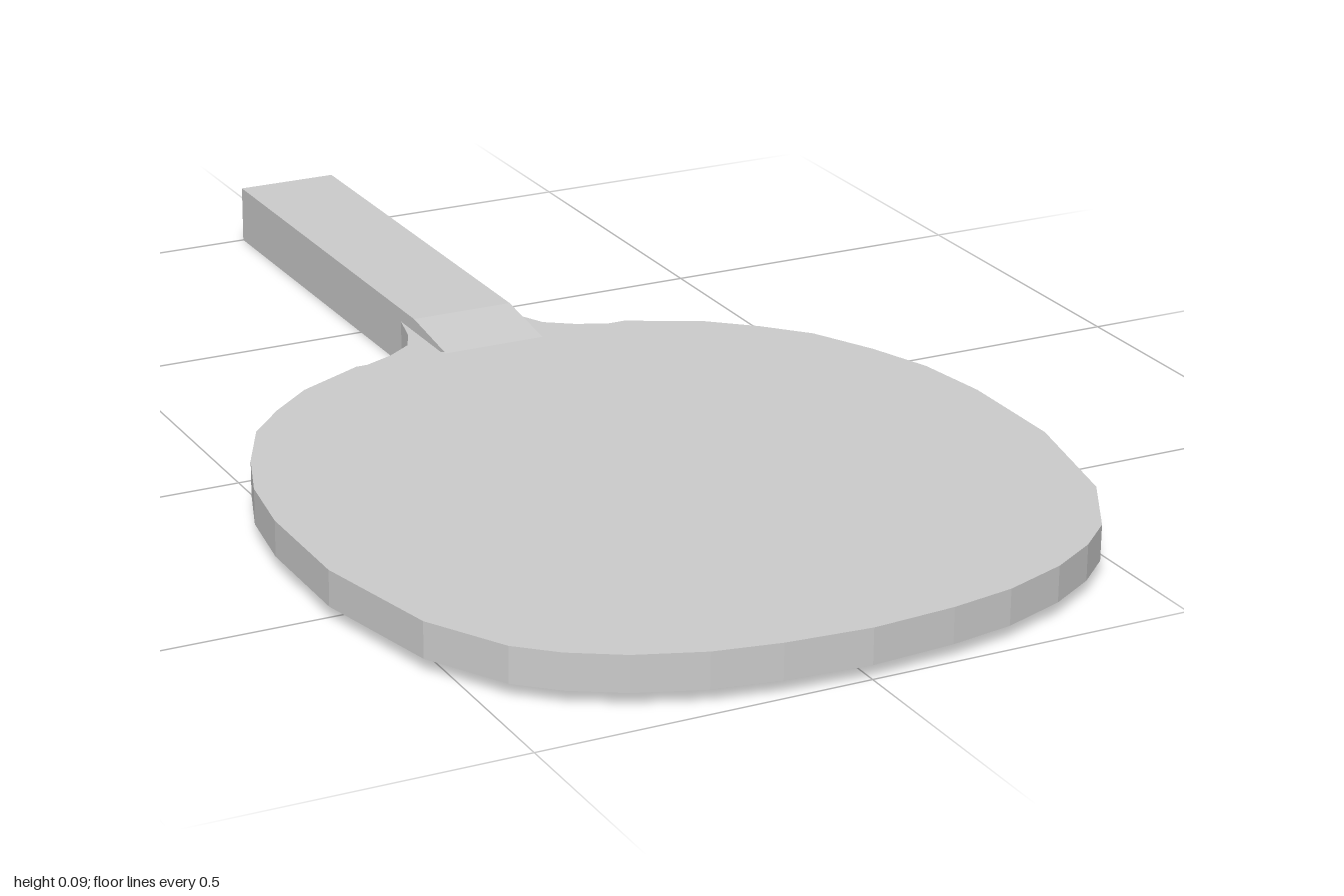
import * as THREE from 'three';

const material = new THREE.MeshStandardMaterial({ color: 0xcccccc });

// Right half of the paddle face as [x, z], running from neck to tip
const neck = [[0.083, -0.34], [0.098, -0.28], [0.117, -0.24], [0.16, -0.21]];
const face = [
  [0.23, -0.18], [0.34, -0.125], [0.41, -0.065], [0.47, 0], [0.52, 0.1], [0.556, 0.2],
  [0.574, 0.32], [0.574, 0.51], [0.528, 0.72], [0.46, 0.84], [0.405, 0.89],
  [0.33, 0.935], [0.23, 0.972], [0.13, 0.99], [0, 1],
];

function addMesh(group, name, geometry) {
  const mesh = new THREE.Mesh(geometry, material);
  mesh.name = name;
  group.add(mesh);
}

// Flat plate: mirrors a half outline and fills it between two heights
function plate(half, bottom, top) {
  const mirrored = half.filter(([x]) => x > 0).map(([x, z]) => [-x, z]).reverse();
  const outline = [...half, ...mirrored].map(([x, z]) => new THREE.Vector2(x, z));
  const geometry = new THREE.ExtrudeGeometry(new THREE.Shape(outline), {
    depth: top - bottom, bevelEnabled: false,
  });
  return geometry.rotateX(Math.PI / 2).translate(0, top, 0);
}

export function createModel() {
  const group = new THREE.Group();
  group.name = 'paddle';

  // Wooden core with flared neck, and a rubber sheet on each side
  addMesh(group, 'bladeCore', plate([...neck, ...face], 0.025, 0.072));
  addMesh(group, 'topRubber', plate(face, 0.072, 0.076));
  addMesh(group, 'bottomRubber', plate(face, 0.021, 0.025));

  // Handle side profile [z, y], tapering into the blade
  const profile = [[-1, 0], [-0.29, 0], [-0.13, 0.03], [-0.13, 0.07], [-0.29, 0.093], [-1, 0.093]];
  const width = 0.166;
  const handle = new THREE.ExtrudeGeometry(
    new THREE.Shape(profile.map(([z, y]) => new THREE.Vector2(z, y))),
    { depth: width, bevelEnabled: false },
  );
  addMesh(group, 'handle', handle.rotateY(-Math.PI / 2).translate(width / 2, 0, 0));

  return group;
}
